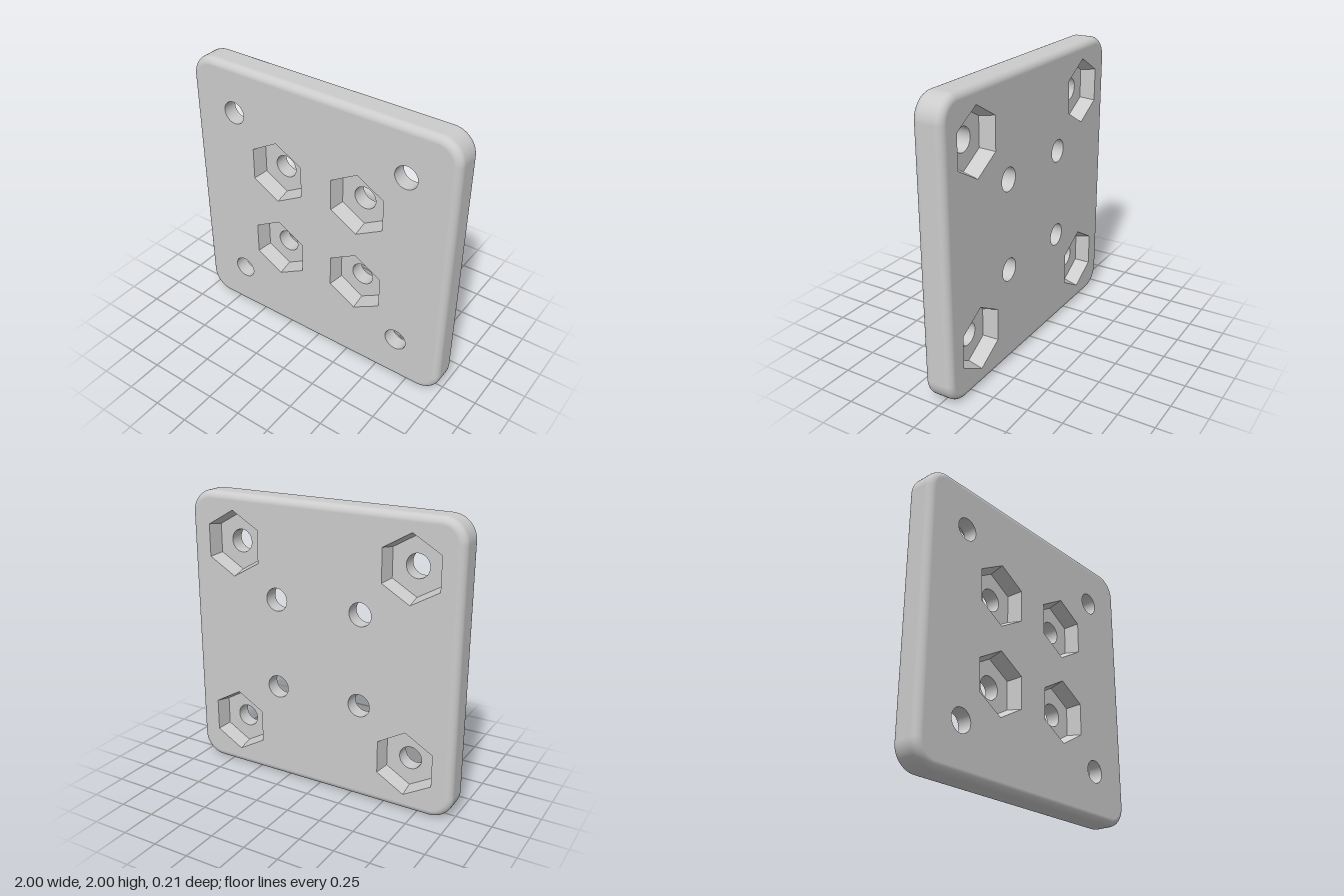
import * as THREE from 'three';

const HALF = 1;          // half width of the plate
const DEPTH = 0.103;     // half thickness
const CORNER = 0.16;     // corner radius seen from the front
const FILLET = 0.05;     // rounding of the rim
const HEX_RIM = 0.227, HEX_FLOOR = 0.2, BORE = 0.08, BORE_SIDES = 48;
const INNER = 0.316, OUTER = 0.658;
const ARC = 12;          // steps per corner

const smooth = new THREE.MeshStandardMaterial({ color: 0xcccccc });
const faceted = new THREE.MeshStandardMaterial({ color: 0xcccccc, flatShading: true });

function named(name, geometry, material = smooth) {
  const mesh = new THREE.Mesh(geometry, material);
  mesh.name = name;
  return mesh;
}

// Regular polygon with a corner at the top
function polygon(radius, sides, x = 0, y = 0) {
  return Array.from({ length: sides }, (_, i) => {
    const a = Math.PI / 2 + (i / sides) * Math.PI * 2;
    return new THREE.Vector2(x + radius * Math.cos(a), y + radius * Math.sin(a));
  });
}

// Rounded square outline: corner centre plus outward direction for each point
function outline() {
  const list = [];
  for (let q = 0; q < 4; q++) {
    const mid = (q + 0.5) * Math.PI / 2;
    const cx = Math.sign(Math.cos(mid)) * (HALF - CORNER);
    const cy = Math.sign(Math.sin(mid)) * (HALF - CORNER);
    for (let i = 0; i <= ARC; i++) {
      const a = (q + i / ARC) * Math.PI / 2;
      list.push({ cx, cy, nx: Math.cos(a), ny: Math.sin(a) });
    }
  }
  return list;
}

// Rim: the outline swept through a filleted edge profile
function rimGeometry() {
  const pts = outline(), n = pts.length, steps = 8;
  const profile = [];
  for (const side of [-1, 1]) {
    for (let k = 0; k <= steps; k++) {
      const t = (side < 0 ? k / steps - 1 : k / steps) * Math.PI / 2;
      profile.push({ c: Math.cos(t), s: Math.sin(t), z: side * (DEPTH - FILLET) + FILLET * Math.sin(t) });
    }
  }
  const position = [], normal = [], index = [];
  profile.forEach(({ c, s, z }, j) => {
    const r = CORNER - FILLET + FILLET * c;
    pts.forEach((p, i) => {
      position.push(p.cx + p.nx * r, p.cy + p.ny * r, z);
      normal.push(p.nx * c, p.ny * c, s);
      if (j === profile.length - 1) return;
      const a = j * n + i, b = j * n + (i + 1) % n;
      index.push(a, b, b + n, a, b + n, a + n);
    });
  });
  const g = new THREE.BufferGeometry();
  g.setAttribute('position', new THREE.Float32BufferAttribute(position, 3));
  g.setAttribute('normal', new THREE.Float32BufferAttribute(normal, 3));
  g.setIndex(index);
  return g;
}

// Flat face pierced by four hexagons and four round holes
function faceGeometry(hexOffset, boreOffset) {
  const r = CORNER - FILLET;
  const shape = new THREE.Shape(outline().map(p => new THREE.Vector2(p.cx + p.nx * r, p.cy + p.ny * r)));
  for (const sx of [-1, 1]) for (const sy of [-1, 1]) {
    shape.holes.push(new THREE.Path(polygon(HEX_RIM, 6, sx * hexOffset, sy * hexOffset)));
    shape.holes.push(new THREE.Path(polygon(BORE, BORE_SIDES, sx * boreOffset, sy * boreOffset)));
  }
  return new THREE.ShapeGeometry(shape).translate(0, 0, DEPTH);
}

// Open tube along z whose faces look inward
function innerWall(frontRadius, backRadius, sides, z) {
  const g = new THREE.CylinderGeometry(frontRadius, backRadius, DEPTH, sides, 1, true);
  g.rotateX(Math.PI / 2).translate(0, 0, z);
  g.setIndex(Array.from(g.index.array).reverse());
  const nrm = g.attributes.normal;
  for (let i = 0; i < nrm.count; i++) nrm.setXYZ(i, -nrm.getX(i), -nrm.getY(i), -nrm.getZ(i));
  return g;
}

// Drafted hexagonal nut pocket with a bore through its floor
function nutPocket() {
  const group = new THREE.Group();
  const floor = new THREE.Shape(polygon(HEX_FLOOR, 6));
  floor.holes.push(new THREE.Path(polygon(BORE, BORE_SIDES)));
  group.add(
    named('pocketWall', innerWall(HEX_RIM, HEX_FLOOR, 6, DEPTH / 2), faceted),
    named('pocketFloor', new THREE.ShapeGeometry(floor)),
    named('bore', innerWall(BORE, BORE, BORE_SIDES, -DEPTH / 2)),
  );
  return group;
}

export function createModel() {
  const model = new THREE.Group();
  model.name = 'mountingPlate';
  const plate = new THREE.Group();
  plate.name = 'plate';
  plate.position.y = HALF;
  model.add(plate);

  plate.add(named('rim', rimGeometry()));
  plate.add(named('frontFace', faceGeometry(INNER, OUTER)));
  plate.add(named('backFace', faceGeometry(OUTER, INNER).rotateY(Math.PI)));

  // Inner pockets open to the front, outer pockets to the back
  for (const sx of [-1, 1]) for (const sy of [-1, 1]) {
    const front = nutPocket();
    front.name = 'frontNutPocket';
    front.position.set(sx * INNER, sy * INNER, 0);
    const back = nutPocket();
    back.name = 'backNutPocket';
    back.position.set(sx * OUTER, sy * OUTER, 0);
    back.rotation.y = Math.PI;
    plate.add(front, back);
  }
  return model;
}
